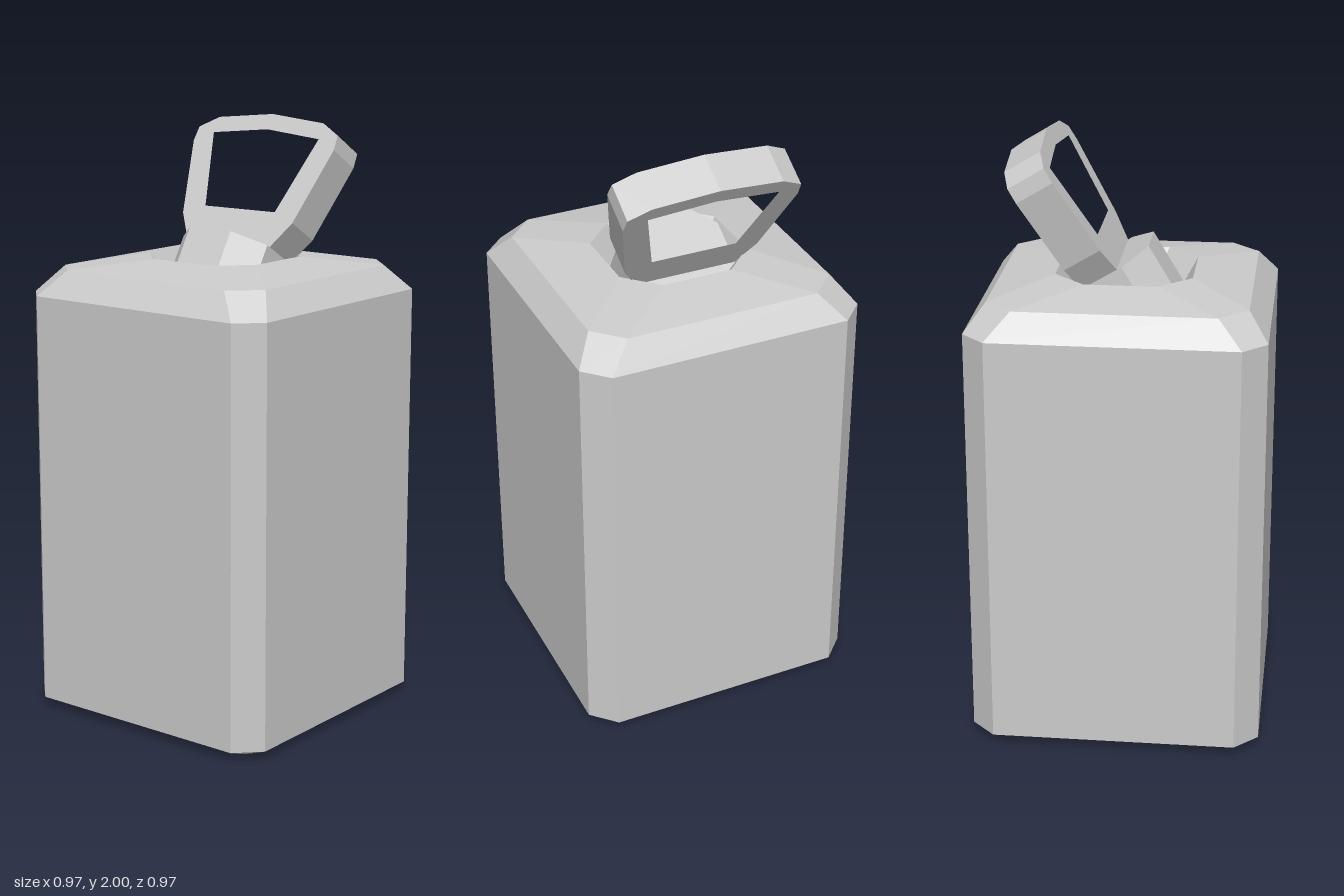
import * as THREE from 'three';

const material = new THREE.MeshStandardMaterial({ color: 0xcccccc, flatShading: true });

// Chamfered-square ring: half width h, flat sides running from -c to c, at height y
const ring = ([h, c, y]) =>
  [[h, -c], [h, c], [c, h], [-c, h], [-h, c], [-h, -c], [-c, -h], [c, -h]].map(([x, z]) => [x, y, z]);

// Skin a stack of rings and close both ends
function loft(sections) {
  const n = 8;
  const positions = sections.flatMap(ring).flat();
  const index = [];
  for (let s = 0; s < sections.length - 1; s++) {
    for (let i = 0; i < n; i++) {
      const a = s * n + i, b = s * n + (i + 1) % n;
      index.push(a, a + n, b, b, a + n, b + n);
    }
  }
  const last = (sections.length - 1) * n;
  for (let i = 1; i < n - 1; i++) {
    index.push(0, i, i + 1);
    index.push(last, last + i + 1, last + i);
  }
  const indexed = new THREE.BufferGeometry();
  indexed.setAttribute('position', new THREE.Float32BufferAttribute(positions, 3));
  indexed.setIndex(index);
  const geometry = indexed.toNonIndexed();
  geometry.computeVertexNormals();
  return geometry;
}

function addMesh(parent, name, geometry) {
  const mesh = new THREE.Mesh(geometry, material);
  mesh.name = name;
  parent.add(mesh);
  return mesh;
}

// Closed outline from its right half, listed top to bottom; the first point lies on x = 0
function mirrored(half) {
  const left = half.slice(1).reverse().map(([x, y]) => [-x, y]);
  return [...half, ...left].map(([x, y]) => new THREE.Vector2(x, y));
}

export function createModel() {
  const model = new THREE.Group();
  model.name = 'canister';

  // Body: bevelled base, tall walls, shoulder, sloping top and funnel-shaped recess
  addMesh(model, 'body', loft([
    [0.41, 0.395, 0],
    [0.485, 0.406, 0.03],
    [0.485, 0.406, 1.43],
    [0.42, 0.328, 1.515],
    [0.225, 0.12, 1.55],
    [0.18, 0.086, 1.47],
  ]));

  // Stopper leans backwards; its origin is the centre of the cap's top face
  const stopper = new THREE.Group();
  stopper.name = 'stopper';
  stopper.position.set(0, 1.552, -0.075);
  stopper.rotation.x = -0.541;
  model.add(stopper);

  // Cap plugged into the recess
  addMesh(stopper, 'cap', loft([[0.178, 0.086, -0.2], [0.178, 0.086, 0]]));

  // Handle: flared loop with a trapezoid window
  const shape = new THREE.Shape(mirrored([
    [0, 0.482], [0.22, 0.459], [0.293, 0.418], [0.297, 0.365],
    [0.232, 0.093], [0.174, 0], [0.165, -0.06],
  ]));
  shape.holes.push(new THREE.Path(mirrored([[0, 0.424], [0.222, 0.4], [0.147, 0.126]])));
  const depth = 0.135;
  const handle = new THREE.ExtrudeGeometry(shape, { depth, bevelEnabled: false });
  handle.translate(0, 0, -depth / 2);
  addMesh(stopper, 'handle', handle);

  return model;
}
